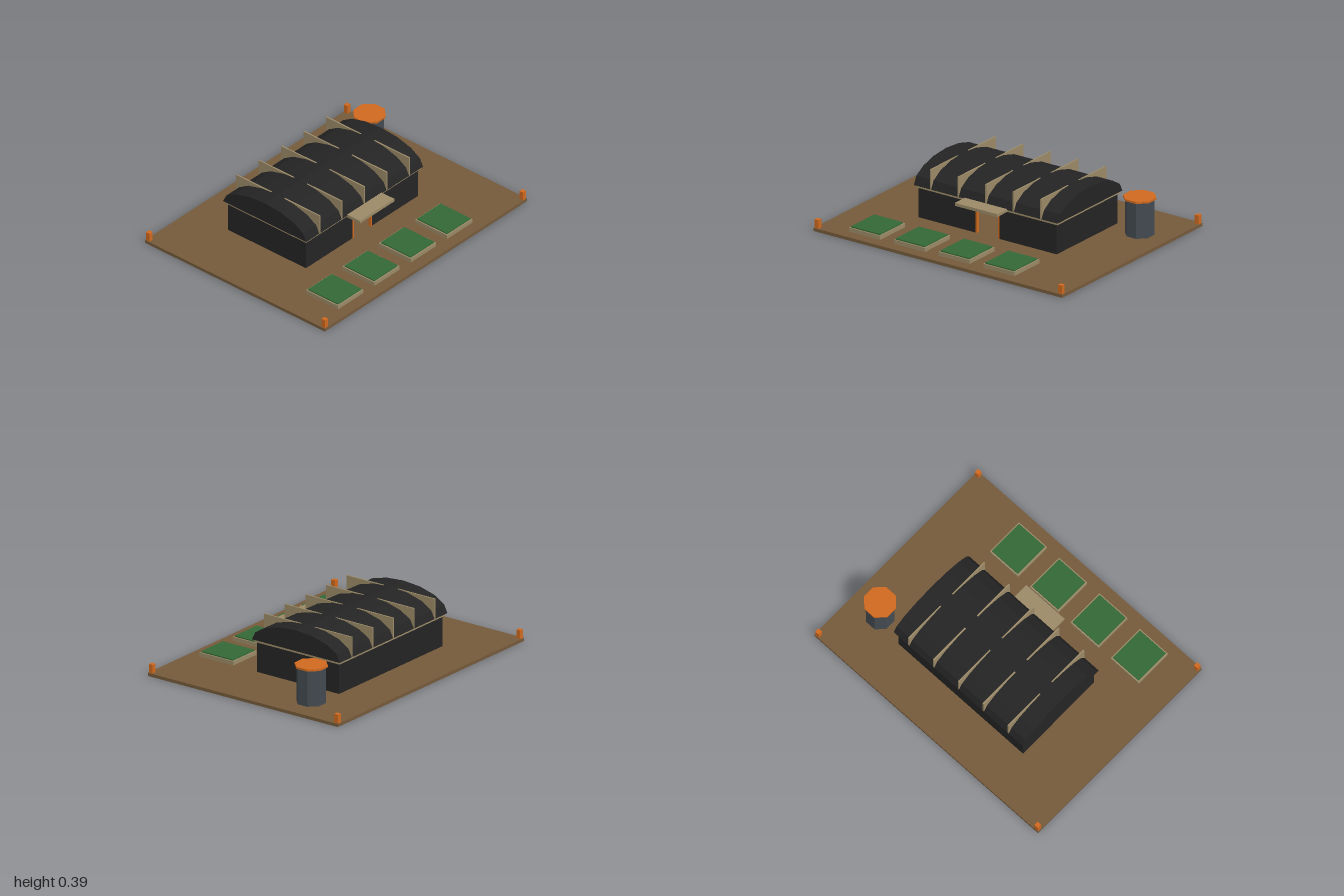
import * as THREE from 'three';

const mat = (name, color) => {
  const m = new THREE.MeshStandardMaterial({ color });
  m.name = name;
  return m;
};

export function createModel() {
  const model = new THREE.Group();
  model.name = 'farmCompound';

  const soil = mat('soil brown', 0x755a3a);
  const dark = mat('charcoal', 0x242424);
  const tan = mat('tan trim', 0x9b8a67);
  const green = mat('crop green', 0x346836);
  const orange = mat('orange', 0xcf691f);
  const steel = mat('steel grey', 0x434a50);

  const add = (name, geometry, material, x = 0, y = 0, z = 0) => {
    const mesh = new THREE.Mesh(geometry, material);
    mesh.name = name;
    mesh.position.set(x, y, z);
    model.add(mesh);
    return mesh;
  };
  // box given by its extents on each axis
  const box = (name, material, [x0, x1], [y0, y1], [z0, z1]) =>
    add(name, new THREE.BoxGeometry(x1 - x0, y1 - y0, z1 - z0), material,
      (x0 + x1) / 2, (y0 + y1) / 2, (z0 + z1) / 2);

  const G = 0.022;            // ground level
  const wallTop = 0.232;
  const front = 0.225, back = -0.449, side = 0.555, t = 0.02;
  const mid = -0.112;         // centre of the hall in z

  // Ground slab and corner posts
  box('ground', soil, [-1, 1], [0, G], [-0.778, 0.778]);
  for (const sx of [-1, 1]) for (const sz of [-1, 1]) {
    add('cornerPost', new THREE.BoxGeometry(0.031, 0.061, 0.031), orange, sx * 0.979, G + 0.0305, sz * 0.759);
  }

  // Hollow hall with an open doorway
  const doorHalf = 0.095, doorTop = 0.219;
  box('backWall', dark, [-side, side], [G, wallTop], [back, back + t]);
  for (const s of [-1, 1]) {
    const span = (a, b) => (s > 0 ? [a, b] : [-b, -a]);
    box('sideWall', dark, span(side - t, side), [G, wallTop], [back + t, front - t]);
    box('frontWall', dark, span(doorHalf, side), [G, wallTop], [front - t, front]);
    box('doorJamb', orange, span(doorHalf - 0.01, doorHalf), [G, doorTop], [front - t, front + 0.003]);
  }
  box('doorLintel', dark, [-doorHalf, doorHalf], [doorTop, wallTop], [front - t, front]);
  box('doorHead', orange, [-doorHalf + 0.01, doorHalf - 0.01], [doorTop - 0.01, doorTop], [front - t, front + 0.003]);

  // Eave slab and entrance canopy
  box('eave', tan, [-0.567, 0.567], [wallTop, 0.251], [mid - 0.348, mid + 0.348]);
  box('canopy', tan, [-0.17, 0.17], [0.235, 0.256], [0.215, 0.356]);

  // Faceted barrel roof
  const arc = [];
  for (let i = 0; i <= 8; i++) {
    const a = (i / 8) * Math.PI;
    arc.push(new THREE.Vector2(Math.cos(a) * 0.36, Math.sin(a) * 0.145));
  }
  const roof = new THREE.ExtrudeGeometry(new THREE.Shape(arc), { depth: 1.156, bevelEnabled: false });
  roof.translate(0, 0, -0.578).rotateY(Math.PI / 2);
  add('roof', roof, dark, 0, 0.25, mid);

  // Rectangular ribs standing through the roof
  for (let i = -2; i <= 2; i++) {
    box('roofRib', tan, [i * 0.222 - 0.005, i * 0.222 + 0.005], [0.251, 0.3905], [mid - 0.36, mid + 0.36]);
  }

  // Octagonal storage tank
  const octagon = (r, h) => new THREE.CylinderGeometry(r, r, h, 8).toNonIndexed().rotateY(Math.PI / 8);
  for (const [name, r, y0, y1, m] of [['tankBody', 0.1, G, 0.271, steel], ['tankLid', 0.112, 0.271, 0.285, orange]]) {
    const g = octagon(r, y1 - y0);
    g.computeVertexNormals();
    add(name, g, m, 0.777, (y0 + y1) / 2, -0.39);
  }

  // Row of planting beds
  for (let i = 0; i < 4; i++) {
    const x = -0.65 + i * 0.36;
    box('planterBed', tan, [x - 0.125, x + 0.125], [G, 0.05], [0.418, 0.695]);
    box('planterCrop', green, [x - 0.116, x + 0.116], [0.05, 0.058], [0.428, 0.686]);
  }

  return model;
}
